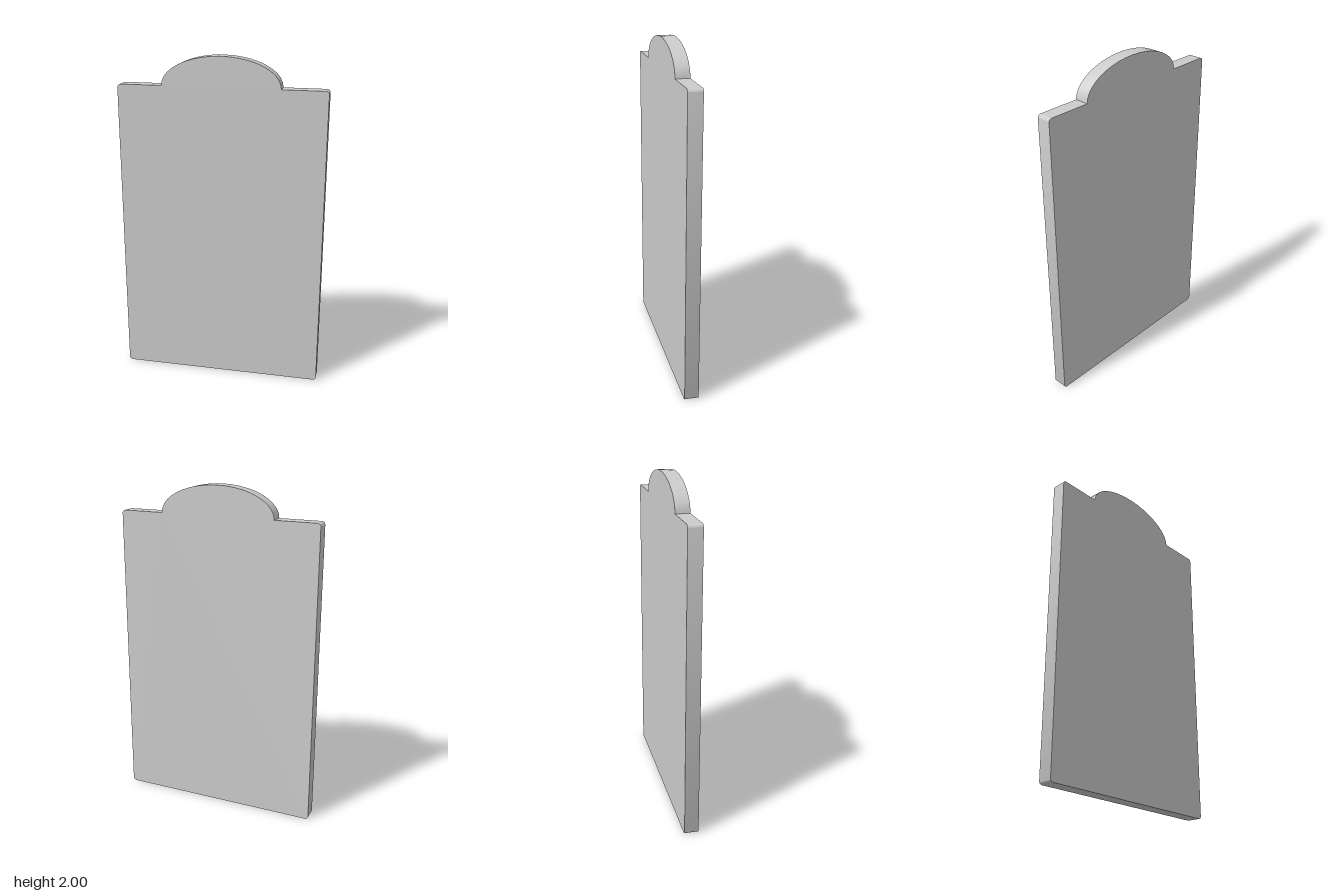
import * as THREE from 'three';
import { toCreasedNormals } from 'three/addons/utils/BufferGeometryUtils.js';

const HALF_WIDTH = 0.617, SHOULDER = 1.825, CORNER = 0.02, DEPTH = 0.084;
const ARCH_X = 0.35, ARCH_Y = 2 - SHOULDER;

export function createModel() {
  const group = new THREE.Group();
  group.name = 'archedPanel';

  // Outline: rectangle with small rounded corners and a half-ellipse crest
  const w = HALF_WIDTH, h = SHOULDER, r = CORNER;
  const outline = new THREE.Shape();
  outline.moveTo(-w + r, 0);
  outline.lineTo(w - r, 0);
  outline.absarc(w - r, r, r, -Math.PI / 2, 0, false);
  outline.lineTo(w, h - r);
  outline.absarc(w - r, h - r, r, 0, Math.PI / 2, false);
  outline.lineTo(ARCH_X, h);
  outline.absellipse(0, h, ARCH_X, ARCH_Y, 0, Math.PI, false);
  outline.lineTo(-w + r, h);
  outline.absarc(-w + r, h - r, r, Math.PI / 2, Math.PI, false);
  outline.lineTo(-w, r);
  outline.absarc(-w + r, r, r, Math.PI, Math.PI * 1.5, false);

  // Flat slab, smooth round the crest and sharp at the faces
  const slab = new THREE.ExtrudeGeometry(outline, {
    depth: DEPTH, bevelEnabled: false, curveSegments: 10,
  });
  slab.translate(0, 0, -DEPTH / 2);

  const panel = new THREE.Mesh(
    toCreasedNormals(slab, Math.PI / 6),
    new THREE.MeshStandardMaterial({ color: 0xcccccc }),
  );
  panel.name = 'panel';
  group.add(panel);
  return group;
}
